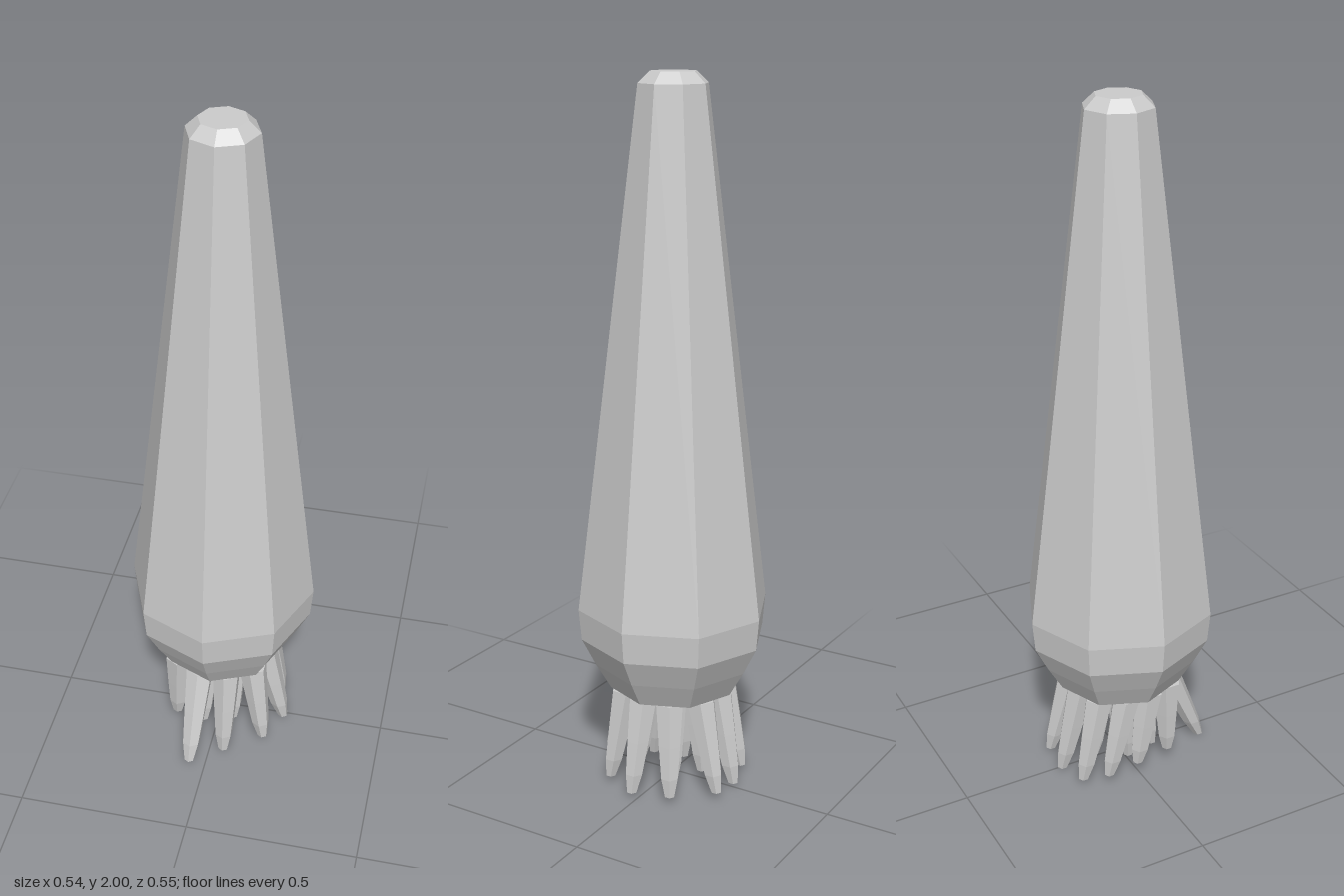
import * as THREE from 'three';

const material = new THREE.MeshStandardMaterial({ color: 0xcccccc, flatShading: true });

// Faceted root that tapers and leans from its top point to its tip
function makeRoot([x0, z0, x1, z1, tipY], width) {
  const topY = 0.29;
  const profile = [[0, 0], [0.35, 0], [0.62, 0.2], [0.8, 0.55], [1, 1], [0, 1]]
    .map(([r, t]) => new THREE.Vector2(r * width, t));
  const geometry = new THREE.LatheGeometry(profile, 6);
  const p = geometry.attributes.position;
  for (let i = 0; i < p.count; i++) {
    const t = p.getY(i);
    p.setXYZ(i,
      p.getX(i) + THREE.MathUtils.lerp(x1, x0, t),
      THREE.MathUtils.lerp(tipY, topY, t),
      p.getZ(i) + THREE.MathUtils.lerp(z1, z0, t));
  }
  geometry.computeVertexNormals();
  return new THREE.Mesh(geometry, material);
}

export function createModel() {
  const model = new THREE.Group();
  model.name = 'rootedStalk';

  // Eight-sided bulb and tapering stalk
  const profile = [[0, 0.285], [0.185, 0.285], [0.228, 0.36], [0.268, 0.44],
    [0.276, 0.53], [0.096, 1.97], [0.064, 2], [0, 2]]
    .map(([r, y]) => new THREE.Vector2(r, y));
  const stalk = new THREE.Mesh(new THREE.LatheGeometry(profile, 8), material);
  stalk.name = 'stalk';
  stalk.scale.x = 0.98;
  model.add(stalk);

  // Roots: top x, top z, tip x, tip z, tip height
  const roots = new THREE.Group();
  roots.name = 'roots';
  const outer = [
    [-0.04, 0.13, -0.05, 0.25, 0.015],
    [0.04, 0.13, 0.04, 0.18, 0.01],
    [0.11, 0.09, 0.15, 0.12, 0.03],
    [0.13, 0.02, 0.195, 0.02, 0.025],
    [0.12, -0.06, 0.17, -0.09, 0.03],
    [0.06, -0.125, 0.08, -0.19, 0.03],
    [-0.02, -0.135, -0.01, -0.195, 0.02],
    [-0.09, -0.11, -0.1, -0.17, 0.03],
    [-0.125, -0.04, -0.13, -0.1, 0.04],
    [-0.13, 0.03, -0.14, -0.01, 0.06],
    [-0.11, 0.1, -0.12, 0.1, 0.06],
  ];
  const inner = [
    [0.05, 0.05, 0.05, 0.08, 0.05],
    [0.06, -0.04, 0.08, -0.05, 0.04],
    [-0.02, -0.06, -0.01, -0.09, 0.03],
    [-0.06, 0.0, -0.06, 0.0, 0.03],
    [-0.03, 0.06, -0.04, 0.09, 0.03],
    [0.01, 0.0, 0.02, 0.01, 0.02],
  ];
  outer.forEach((r, i) => {
    const root = makeRoot(r, 0.043);
    root.name = `outerRoot${i + 1}`;
    roots.add(root);
  });
  inner.forEach((r, i) => {
    const root = makeRoot(r, 0.04);
    root.name = `innerRoot${i + 1}`;
    roots.add(root);
  });
  model.add(roots);

  // Rest the lowest root tip on the ground
  roots.scale.y = 0.285 / 0.28;
  roots.position.y = -0.01 * roots.scale.y;
  return model;
}
